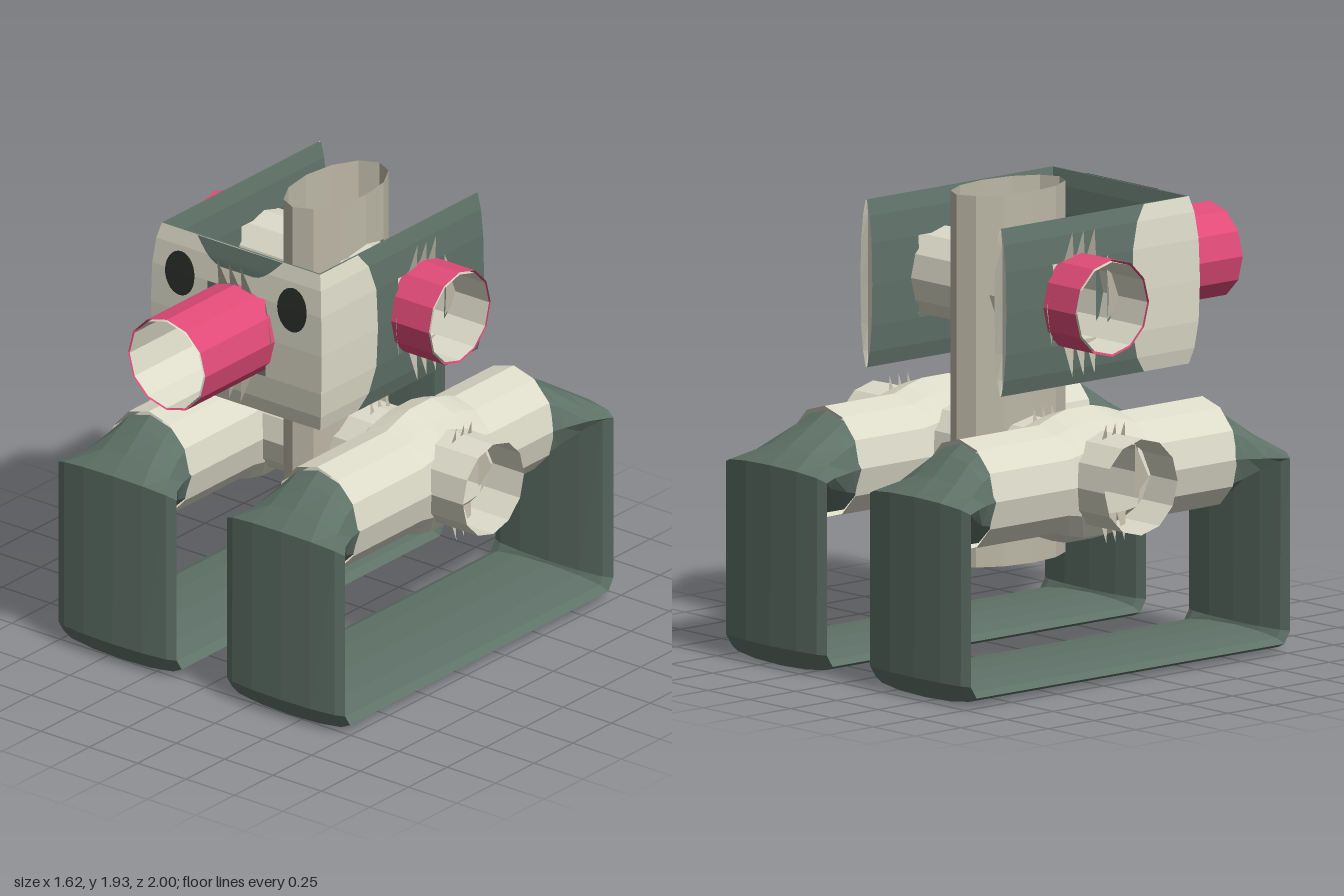
import * as THREE from 'three';

const material = (name, color) => {
  const m = new THREE.MeshStandardMaterial({ color, side: THREE.DoubleSide });
  m.name = name;
  return m;
};

// Joins closed rings of points with flat faces; pick(i, j) gives a material index, or -1 for a hole.
function loft(name, rings, mats, pick = () => 0) {
  const faces = mats.map(() => []);
  for (let i = 0; i < rings.length - 1; i++) {
    const n = rings[i].length;
    for (let j = 0; j < n; j++) {
      const k = pick(i, j);
      if (k < 0) continue;
      const a = rings[i][j], b = rings[i][(j + 1) % n], c = rings[i + 1][(j + 1) % n], d = rings[i + 1][j];
      for (const p of [a, b, c, a, c, d]) faces[k].push(...p);
    }
  }
  const g = new THREE.BufferGeometry();
  g.setAttribute('position', new THREE.Float32BufferAttribute(faces.flat(), 3));
  let start = 0;
  faces.forEach((f, k) => { g.addGroup(start, f.length / 3, k); start += f.length / 3; });
  g.computeVertexNormals();
  const mesh = new THREE.Mesh(g, mats);
  mesh.name = name;
  return mesh;
}

const SIDES = 12;
const circle = (f) => Array.from({ length: SIDES }, (_, j) => {
  const a = (j / SIDES) * Math.PI * 2;
  return f(Math.cos(a), Math.sin(a));
});
// The two faces either side of +x and of -x
const sideFace = (j) => [0, 5, 6, 11].includes(j);

export function createModel() {
  const model = new THREE.Group();
  const cream = material('cream card', 0xdddbc9);
  const grey = material('grey card', 0xbcb7a6);
  const green = material('dark green', 0x5f7268);
  const pink = material('pink', 0xe04b78);
  const dark = material('near black', 0x2a2f2a);
  const Y = 1.52, AXLE_Y = 0.808, AXLE_Z = -0.1;

  // Straight open tube along x or z
  const tube = (name, axis, r, from, to, y, other, mat) => {
    const ring = (t, q) => circle((c, s) => axis === 'x' ? [t, y + r * c, other + r * s] : [other + r * s, y + r * c, t]);
    model.add(loft(name, [ring(from), ring(to)], [mat]));
  };

  // Torn teeth bent outward around a square opening that faces +z
  const flaps = (name, pos, turn, scale) => {
    const p = [];
    for (const s of [1, -1]) {
      for (const x of [-0.09, -0.03, 0.03]) {
        p.push(x, s * 0.16, 0, x + 0.06, s * 0.16, 0, x + 0.02, s * 0.3, 0.035);
      }
      p.push(s * 0.15, -s * 0.1, 0, s * 0.15, s * 0.17, 0, s * 0.21, 0, 0.035);
    }
    const g = new THREE.BufferGeometry();
    g.setAttribute('position', new THREE.Float32BufferAttribute(p, 3));
    g.computeVertexNormals();
    const mesh = new THREE.Mesh(g, grey);
    mesh.name = name;
    mesh.position.set(...pos);
    mesh.rotation.y = turn;
    mesh.scale.setScalar(scale);
    model.add(mesh);
  };

  // Neck: upright oval tube, open at the sides where the cross tubes pass
  const neckRings = [0.4, 0.67, 0.94, 1.36, 1.68, 1.93].map((y) =>
    circle((c, s) => [0.155 * c, y, -0.095 + 0.28 * s]));
  model.add(loft('neck', neckRings, [grey], (i, j) => ((i === 1 || i === 3) && sideFace(j) ? -1 : 0)));

  // Cross tubes
  tube('axle', 'x', 0.198, -0.81, 0.81, AXLE_Y, AXLE_Z, cream);
  tube('headCrossTube', 'x', 0.19, -0.635, 0.635, Y, AXLE_Z, cream);

  for (const side of [-1, 1]) {
    const x0 = side * 0.435;
    const back = side < 0 ? -0.75 : -0.7;

    // Leg tube, swollen above and below the axle
    const legRings = [[back, 0], [-0.32, 0], [-0.25, 0.025], [-0.17, 0.045], [-0.03, 0.045], [0.05, 0.025], [0.12, 0], [0.57, 0]]
      .map(([z, bulge]) => circle((c, s) => [x0 + 0.212 * c, AXLE_Y + (0.23 + bulge) * s, z]));
    model.add(loft('legTube', legRings, [cream], (i, j) => (i >= 2 && i <= 4 && sideFace(j) ? -1 : 0)));

    // Foot band: round at the leg ends, flattened and folded around below
    // Each ring: y, z, thickness direction (y, z), half width, half thickness
    const footRings = [
      [0.808, 0.56, 1, 0, 0.212, 0.21],
      [0.805, 0.62, 1, 0, 0.22, 0.175],
      [0.8, 0.7, 1, 0.2, 0.25, 0.1],
      [0.8, 0.772, 0.75, 0.75, 0.305, 0.045],
      [0.09, 0.772, 0, 1, 0.305, 0.036],
      [0.04, 0.74, -1, 0.2, 0.305, 0.038],
      [0.04, -0.93, -1, -0.2, 0.305, 0.038],
      [0.09, -0.962, 0, -1, 0.305, 0.036],
      [0.8, -0.962, 0.75, -0.75, 0.305, 0.045],
      [0.8, -0.87, 1, -0.2, 0.25, 0.1],
      [0.805, back - 0.05, 1, 0, 0.222, 0.175],
      [0.808, back + 0.01, 1, 0, 0.212, 0.21],
    ].map(([y, z, ny, nz, w, t]) => circle((c, s) => [x0 + w * c, y + ny * t * s, z + nz * t * s]));
    model.add(loft('footBand', footRings, [green]));

    // Pink ear tube over the cross tube
    tube('ear', 'x', 0.2, side * 0.425, side * 0.635, Y, AXLE_Z, pink);

    // Torn openings
    flaps('earFlaps', [side * 0.438, Y, AXLE_Z], side * Math.PI / 2, 1);
    flaps('legOuterFlaps', [x0 + side * 0.2, AXLE_Y, AXLE_Z], side * Math.PI / 2, 0.82);
    flaps('legInnerFlaps', [x0 - side * 0.2, AXLE_Y, AXLE_Z], -side * Math.PI / 2, 0.82);
  }

  // Head: flattened tube folded into a U, with square openings
  const lens = [[-0.345, 0.004], [-0.28, 0.02], [-0.17, 0.032], [0, 0.036], [0.17, 0.032], [0.28, 0.02], [0.345, 0.004]];
  const section = [...lens, ...lens.slice().reverse().map(([v, t]) => [v, -t])];
  const half = [
    [0.405, -0.49, 1, 0, 0], [0.405, -0.5, 1, 0, 1], [0.405, -0.245, 1, 0, 1], [0.405, 0.05, 1, 0, 1],
    [0.405, 0.185, 1, 0, 1, 0.09], [0.405, 0.515, 1, 1, 1], [0.15, 0.515, 0, 1, 1],
  ];
  const path = [...half.map(([x, z, nx, ...rest]) => [-x, z, -nx, ...rest]), ...half.slice().reverse()];
  const headRings = path.map(([x, z, nx, nz, k, curve = 0]) => section.map(([v, t]) =>
    [x + nx * t * k, Y + v, z + nz * t * k + curve * (v / 0.345) ** 4]));
  model.add(loft('head', headRings, [green, cream], (i, j) => {
    if (i === 0 || i === 12) return 1;
    if ([2, 6, 10].includes(i) && [2, 3, 9, 10].includes(j)) return -1;
    return i >= 4 && i <= 8 && j < 6 ? 1 : 0;
  }));

  // Height of the face surface at a distance v from the head's middle
  const faceZ = (v) => {
    const a = Math.abs(v);
    const i = a < 0.17 ? 3 : a < 0.28 ? 4 : 5;
    const [v0, t0] = lens[i], [v1, t1] = lens[i + 1];
    return 0.515 + t0 + (t1 - t0) * (a - v0) / (v1 - v0);
  };
  const onFace = (name, g, mat) => {
    const p = g.attributes.position;
    for (let i = 0; i < p.count; i++) p.setZ(i, faceZ(p.getY(i)) + 0.006);
    g.computeVertexNormals();
    const mesh = new THREE.Mesh(g, mat);
    mesh.name = name;
    mesh.position.y = Y;
    model.add(mesh);
  };

  // Eyes
  for (const side of [-1, 1]) {
    onFace('eye', new THREE.CircleGeometry(1, 28).scale(0.076, 0.095, 1).translate(side * 0.29, 0.165, 0), dark);
  }

  // Green forelock at the top of the face
  const lock = new THREE.PlaneGeometry(0.44, 1, 16, 6);
  const lp = lock.attributes.position;
  for (let i = 0; i < lp.count; i++) {
    const reach = Math.min(1, (0.22 - Math.abs(lp.getX(i))) / 0.14);
    lp.setY(i, 0.345 - (0.5 - lp.getY(i)) * 0.095 * Math.sin(Math.max(0, reach) * Math.PI / 2));
  }
  onFace('forelock', lock, green);

  // Nose: pink outside, card inside, dark band at its inner end
  tube('nose', 'z', 0.2, 0.29, 1, Y, 0, pink);
  tube('noseLining', 'z', 0.191, 0.29, 1, Y, 0, cream);
  tube('noseInnerBand', 'z', 0.204, 0.285, 0.33, Y, 0, dark);
  flaps('noseFlaps', [0, Y, 0.55], 0, 1);

  return model;
}
